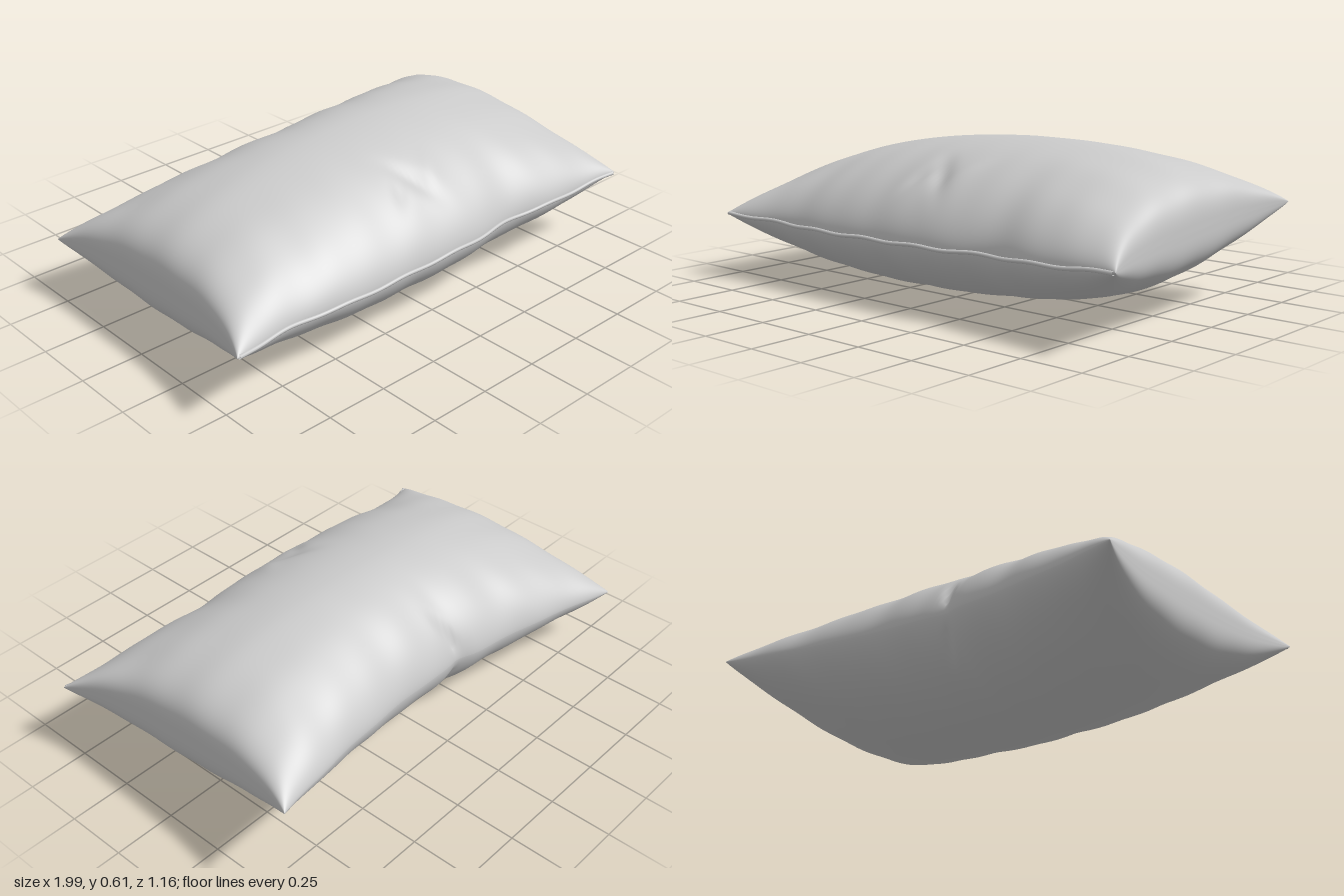
import * as THREE from 'three';

const bump = (d, w) => Math.exp(-((d / w) ** 2));

// Seam outline and the gently twisted sheet it spans; u, v run -1..1 (v = 1 is the front)
function sheet(u, v) {
  const au = Math.abs(u), av = Math.abs(v);
  const x = u * (0.92 + (v > 0 ? 0.077 : 0.053) * av ** 3);
  const front = 0.55 + 0.025 * au ** 8 - 0.025 * bump(u - 0.4, 0.15) - 0.022 * bump(u + 0.72, 0.18);
  const back = 0.445 + 0.13 * au ** 1.7 - 0.015 * bump(u + 0.13, 0.06) + 0.002 * Math.sin(u * 19);
  const z = v > 0 ? v * front : v * back;
  const a = (u + 1) / 2, b = (v + 1) / 2;
  const y = THREE.MathUtils.lerp(0.235 + 0.145 * a, 0.262 + 0.028 * a, b)
    - 0.022 * (1 - u ** 4) * b ** 2 + 0.018 * (1 - u * u) * (1 - v * v);
  return new THREE.Vector3(x, y, z);
}

// Small cloth folds: puckers along the seams, a dent at the front, a pinch at the back
function folds(u, v, f, g, side) {
  const nearLong = 4 * g * (1 - g) * f;
  const nearShort = 4 * f * (1 - f) * g;
  let d = 0.002 * nearLong * (Math.sin(u * 17 + 2 * v + side) + Math.sin(u * 29 - side * 2))
    + 0.002 * nearShort * Math.sin(v * 15 + side * 1.7 + u);
  if (side > 0) {
    const cu = u - 0.03, cv = v - 0.64;
    d -= 0.016 * bump(cu - 0.35 * cv, 0.045) * bump(cv, 0.16);
    d -= 0.01 * bump(cu + 0.09 + 0.2 * cv, 0.035) * bump(cv - 0.04, 0.1);
    d += 0.006 * bump(cu - 0.1 + 0.3 * cv, 0.05) * bump(cv, 0.14);
  }
  const crease = u + 0.12 - 0.2 * (v + 0.95);
  d -= (side > 0 ? 0.03 : 0.018) * bump(crease, 0.018) * bump(v + 0.92, 0.12) * Math.min(1, g * 4);
  return d;
}

// One half of the cover, bulging up (side = 1) or down (side = -1)
function coverHalf(side) {
  const geo = new THREE.PlaneGeometry(2, 2, 160, 110);
  geo.rotateX(-side * Math.PI / 2);
  const pos = geo.attributes.position;
  const depth = side > 0 ? 0.305 : 0.297;
  for (let i = 0; i < pos.count; i++) {
    const u = Math.sin(pos.getX(i) * Math.PI / 2);
    const v = Math.sin(pos.getZ(i) * Math.PI / 2);
    const f = Math.max(0, 1 - u * u) ** 0.31;
    const g = Math.max(0, 1 - v * v) ** 0.6;
    const p = sheet(u, v);
    p.y += side * (depth * f * g + folds(u, v, f, g, side));
    pos.setXYZ(i, p.x, p.y, p.z);
  }
  geo.computeVertexNormals();
  return geo;
}

// Thin lip of cloth running along the front seam
function seamLip() {
  const pts = [];
  for (let i = 0; i <= 48; i++) {
    const u = -0.99 + 1.98 * i / 48;
    const p = sheet(u, 1);
    p.y += 0.003 * Math.sin(u * 23);
    pts.push(p);
  }
  return new THREE.TubeGeometry(new THREE.CatmullRomCurve3(pts), 160, 0.008, 8);
}

export function createModel() {
  const group = new THREE.Group();
  group.name = 'pillow';
  const cloth = new THREE.MeshStandardMaterial({ color: 0xcccccc, side: THREE.DoubleSide });
  const add = (name, geo) => {
    const mesh = new THREE.Mesh(geo, cloth);
    mesh.name = name;
    group.add(mesh);
  };
  add('topCover', coverHalf(1));
  add('bottomCover', coverHalf(-1));
  add('frontSeam', seamLip());

  // Rest the pillow on the ground
  const box = new THREE.Box3().setFromObject(group);
  group.children.forEach((m) => m.geometry.translate(0, -box.min.y, 0));
  return group;
}
